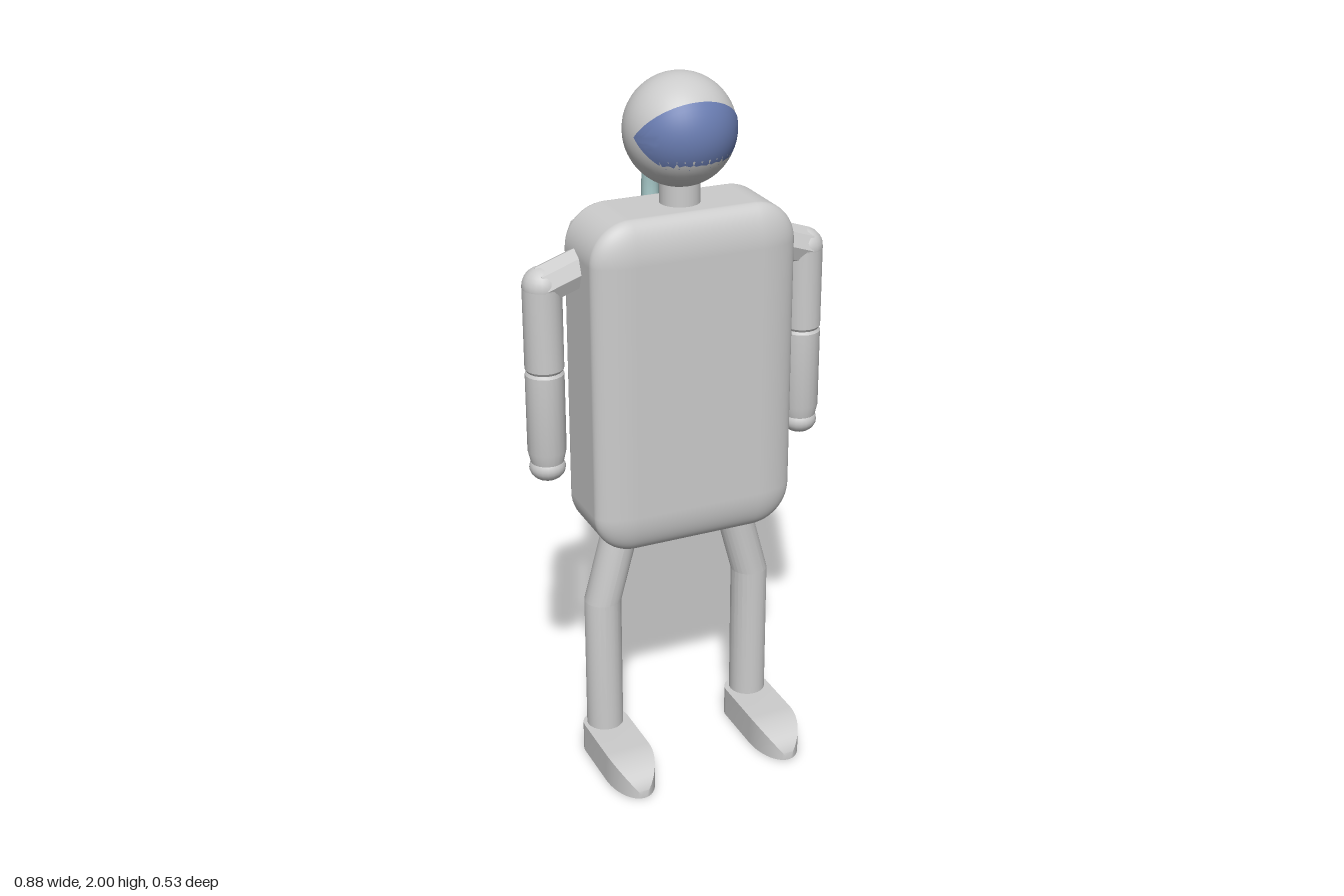
import * as THREE from 'three';
import { toCreasedNormals } from 'three/addons/utils/BufferGeometryUtils.js';
import { RoundedBoxGeometry } from 'three/addons/geometries/RoundedBoxGeometry.js';

const grey = new THREE.MeshStandardMaterial({ color: 0xcccccc });
const blue = new THREE.MeshStandardMaterial({ color: 0x6a7db2, side: THREE.DoubleSide });
const teal = new THREE.MeshStandardMaterial({ color: 0xaacccc });

function add(parent, name, geometry, x, y, z, material = grey) {
  const mesh = new THREE.Mesh(geometry, material);
  mesh.name = name;
  mesh.position.set(x, y, z);
  parent.add(mesh);
  return mesh;
}

// Applies a rule to every vertex, then recomputes normals with sharp creases
function reshape(geometry, rule, crease = 0.5) {
  const p = geometry.attributes.position;
  const v = new THREE.Vector3();
  for (let i = 0; i < p.count; i++) {
    v.fromBufferAttribute(p, i);
    rule(v);
    p.setXYZ(i, v.x, v.y, v.z);
  }
  return toCreasedNormals(geometry, crease);
}

function lathe(points, sides) {
  return new THREE.LatheGeometry(points.map(([r, y]) => new THREE.Vector2(r, y)), sides);
}

// Sphere patch bounded by two planes that meet behind it in a horizontal line
function visorGeometry(R, z0, slope) {
  const geometry = new THREE.PlaneGeometry(1, 1, 32, 12);
  const halfAngle = Math.atan(slope);
  const X = Math.sqrt(R * R - z0 * z0);
  return reshape(geometry, (v) => {
    const a = v.y * 2 * halfAngle;
    const x = X * Math.sin(v.x * Math.PI);
    const c = z0 * Math.cos(a);
    const t = -c + Math.sqrt(Math.max(0, c * c + X * X - x * x));
    v.set(x, t * Math.sin(a), z0 + t * Math.cos(a));
  }, 1);
}

// Foot: round heel in plan, toe tapering in both width and height
function footGeometry() {
  const back = -0.078, heel = -0.022, toe = 0.14, front = 0.265;
  return reshape(new THREE.BoxGeometry(1, 1, 1, 1, 1, 24), (v) => {
    const k = Math.round((v.z + 0.5) * 24);
    let w = 1, h = 1, z;
    if (k <= 10) {
      const a = (k / 10) * Math.PI / 2;
      z = heel - (heel - back) * Math.cos(a);
      w = Math.sin(a);
    } else {
      const a = ((k - 11) / 13) * Math.PI / 2;
      z = toe + (front - toe) * Math.sin(a);
      w = h = Math.cos(a);
    }
    v.set(v.x * 0.134 * w, (v.y + 0.5) * 0.09 * h, z);
  });
}

export function createModel() {
  const model = new THREE.Group();
  model.name = 'suitedFigure';
  const body = new THREE.Group();
  body.name = 'body';
  body.position.x = -0.004;
  model.add(body);

  // Torso and backpack: rounded boxes flattened front to back
  add(body, 'torso', new RoundedBoxGeometry(0.587, 0.95, 0.587, 8, 0.115), 0, 1.18, 0)
    .scale.z = 0.272 / 0.587;
  const pack = toCreasedNormals(new RoundedBoxGeometry(0.453, 0.625, 0.25, 1, 0.042).scale(1, 1, 0.5), 0.3);
  add(body, 'backpack', pack, 0, 1.257, -0.203);

  // Head
  add(body, 'neck', new THREE.CylinderGeometry(0.055, 0.055, 0.12, 24), 0, 1.68, -0.002);
  add(body, 'head', new THREE.SphereGeometry(0.15, 40, 28), 0, 1.85, -0.003);
  add(body, 'visor', visorGeometry(0.1515, 0.04, 1.2), 0, 1.86 - 0.006, -0.003, blue);

  // Air hose from backpack to the back of the head
  const hosePath = new THREE.CatmullRomCurve3([
    [1.55, -0.197], [1.66, -0.197], [1.71, -0.188], [1.75, -0.163], [1.77, -0.13], [1.78, -0.09],
  ].map(([y, z]) => new THREE.Vector3(0, y, z)));
  add(body, 'airHose', new THREE.TubeGeometry(hosePath, 16, 0.024, 14), 0, 0, 0, teal);

  const armProfile = [[0, 0.962], [0.045, 0.965], [0.053, 1.0], [0.053, 1.224],
    [0.048, 1.232], [0.053, 1.24], [0.053, 1.47]];
  const legProfile = [[0.053, 0.05], [0.053, 0.5], [0.053, 0.78]];

  for (const side of [1, -1]) {
    const label = side > 0 ? 'left' : 'right';

    // Arm: sloping shoulder, jointed sleeve, round hand
    const arm = new THREE.Group();
    arm.name = label + 'Arm';
    body.add(arm);
    const x = 0.384 * side, z = -0.023;
    const shoulder = add(arm, 'shoulder',
      toCreasedNormals(new THREE.CylinderGeometry(0.054, 0.054, 0.17, 8), 0.5), 0.305 * side, 1.498, z);
    shoulder.rotation.z = side * (Math.PI / 2 - 0.33);
    add(arm, 'shoulderJoint', new THREE.SphereGeometry(0.0535, 20, 14), x, 1.47, z);
    add(arm, 'sleeve', toCreasedNormals(lathe(armProfile, 20), 0.5), x, 0, z);
    add(arm, 'hand', new THREE.SphereGeometry(0.05, 20, 14), x, 0.95, z).scale.y = 0.78;

    // Leg: upright shin, thigh leaning inward above the knee
    const leg = new THREE.Group();
    leg.name = label + 'Leg';
    body.add(leg);
    const legGeometry = reshape(lathe(legProfile, 24), (v) => {
      v.x -= side * 0.27 * Math.max(0, v.y - 0.5);
    }, 0.27);
    add(leg, 'legTube', legGeometry, 0.231 * side, 0, -0.022);
    add(leg, 'foot', footGeometry(), 0.229 * side, 0, 0);
  }
  return model;
}
